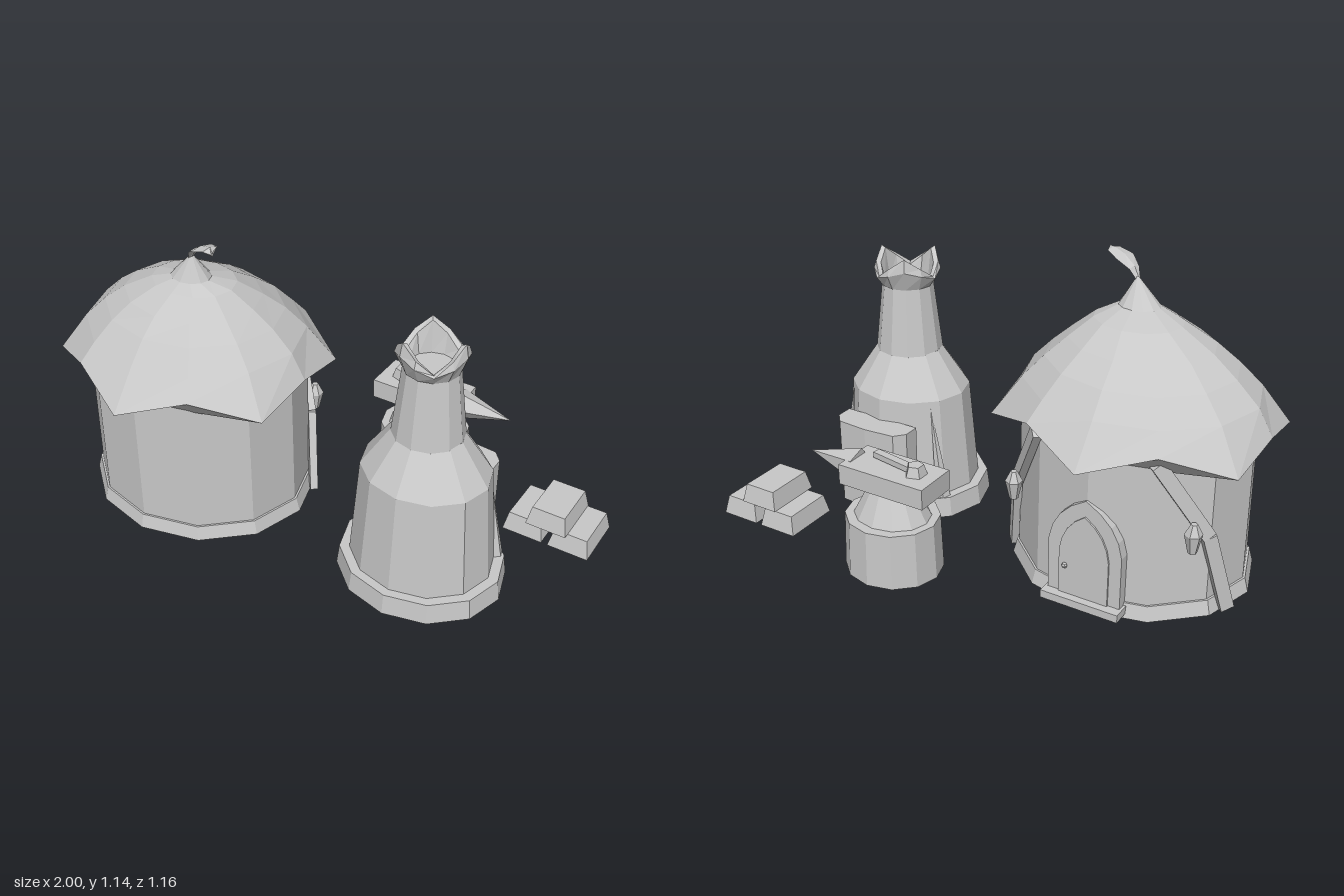
import * as THREE from 'three';

const stone = new THREE.MeshStandardMaterial({ color: 0xc8c8c8, flatShading: true, side: THREE.DoubleSide });
stone.name = 'stone grey';

const V = (x, y, z) => new THREE.Vector3(x, y, z);

function add(parent, name, geometry, x = 0, y = 0, z = 0) {
  const mesh = new THREE.Mesh(geometry, stone);
  mesh.name = name;
  mesh.position.set(x, y, z);
  parent.add(mesh);
  return mesh;
}

// Twelve-sided drum with a closed top and open bottom, slightly flattened front to back
function drum(parent, name, r0, r1, y0, y1, squash = 0.895) {
  const profile = [[r0, y0], [r1, y1], [0, y1]].map(p => new THREE.Vector2(...p));
  const m = add(parent, name, new THREE.LatheGeometry(profile, 12));
  m.scale.z = squash;
  return m;
}

// Skin stretched over closed rings of points
function loft(rings) {
  const n = rings[0].length, pos = [], idx = [];
  rings.forEach(r => r.forEach(p => pos.push(p.x, p.y, p.z)));
  for (let k = 0; k < rings.length - 1; k++) {
    for (let i = 0; i < n; i++) {
      const a = k * n + i, b = k * n + (i + 1) % n;
      idx.push(a, a + n, b, b, a + n, b + n);
    }
  }
  const g = new THREE.BufferGeometry();
  g.setAttribute('position', new THREE.Float32BufferAttribute(pos, 3));
  g.setIndex(idx);
  g.computeVertexNormals();
  return g;
}

const ring = fn => Array.from({ length: 12 }, (_, i) => fn(i * Math.PI / 6, i));

// Straight bar from one point to another; its flat side faces along "out"
function bar(parent, name, a, b, w, d, out) {
  const along = b.clone().sub(a).normalize();
  const across = along.clone().cross(out).normalize();
  const m = add(parent, name, new THREE.BoxGeometry(w, a.distanceTo(b), d));
  m.position.copy(a).add(b).multiplyScalar(0.5);
  m.quaternion.setFromRotationMatrix(new THREE.Matrix4().makeBasis(across, along, across.clone().cross(along)));
  return m;
}

function archShape(w, h) {
  const s = new THREE.Shape();
  s.moveTo(-w, 0);
  s.lineTo(w, 0);
  s.lineTo(w, h * 0.55);
  s.quadraticCurveTo(w * 0.9, h * 0.85, 0, h);
  s.quadraticCurveTo(-w * 0.9, h * 0.85, -w, h * 0.55);
  return s;
}

function arch(parent, name, w, h, depth, y, z) {
  return add(parent, name, new THREE.ExtrudeGeometry(archShape(w, h), { depth, bevelEnabled: false, curveSegments: 4 }), 0, y, z);
}

function buildHut() {
  const hut = new THREE.Group();
  hut.name = 'hut';
  hut.position.set(-0.51, 0, 0.09);
  drum(hut, 'hutFooting', 0.455, 0.44, 0, 0.055);
  drum(hut, 'hutWall', 0.432, 0.428, 0.05, 0.6);

  // Scalloped roof: six low tips alternating with raised valleys
  const levels = [
    [0, 0, 0.42, 0.375, 0.575], null,
    [0, 0, 0.432, 0.372, 0.72], [0.005, 0.005, 0.35, 0.302, 0.80],
    [0.015, 0.02, 0.268, 0.225, 0.865], [0.04, 0.04, 0.165, 0.135, 0.93],
    [0.055, 0.075, 0.078, 0.065, 0.965], [0.075, 0.09, 0.004, 0.004, 1.06],
  ];
  add(hut, 'roof', loft(levels.map(l => ring((a, i) => {
    if (l) return V(l[0] + Math.cos(a) * l[2], l[4], l[1] + Math.sin(a) * l[3]);
    if (i % 2) return V(Math.cos(a) * 0.538, 0.575, Math.sin(a) * 0.487);
    return V(Math.cos(a) * 0.486, i % 6 ? 0.65 : 0.625, Math.sin(a) * 0.435);
  }))));

  // Curling leaf on the roof peak
  const leaf = [[0.07, 1.045, 0.09, 0.008], [0.095, 1.085, 0.10, 0.024], [0.14, 1.115, 0.115, 0.042],
    [0.19, 1.13, 0.13, 0.03], [0.215, 1.125, 0.15, 0.004]];
  add(hut, 'roofLeaf', loft(leaf.map(([x, y, z, w]) =>
    [V(x - w * 0.3, y, z + w), V(x, y + 0.008, z), V(x + w * 0.3, y, z - w), V(x, y - 0.008, z)])));

  // Door at the back
  arch(hut, 'doorFrame', 0.14, 0.41, 0.05, 0.02, -0.393);
  arch(hut, 'door', 0.095, 0.34, 0.05, 0.03, -0.4);
  add(hut, 'doorKnob', new THREE.SphereGeometry(0.011, 6, 4), 0.07, 0.16, -0.405);
  add(hut, 'doorStep', new THREE.BoxGeometry(0.3, 0.03, 0.1), 0, 0.03, -0.38);

  // Leaning planks and hanging lanterns either side of the door
  for (const s of [-1, 1]) {
    const out = V(s * 0.75, 0, -0.66);
    const mid = V(s * 0.372, 0.32, -0.215);
    bar(hut, 'leaningPlankTop', V(s * 0.225, 0.61, -0.34), mid, 0.05, 0.03, out);
    bar(hut, 'leaningPlankFoot', mid, V(s * 0.428, 0.01, -0.14), 0.05, 0.03, out);
    const x = s * 0.345, z = -0.285;
    add(hut, 'lanternTop', new THREE.CylinderGeometry(0.012, 0.032, 0.04, 6), x, 0.375, z);
    add(hut, 'lanternBody', new THREE.CylinderGeometry(0.032, 0.016, 0.07, 6), x, 0.32, z);
  }
  return hut;
}

function buildFurnace() {
  const f = new THREE.Group();
  f.name = 'furnace';
  f.position.set(0.495, 0, 0.115);
  drum(f, 'furnaceFooting', 0.318, 0.308, 0, 0.08);
  drum(f, 'furnaceBody', 0.27, 0.238, 0.08, 0.47);
  drum(f, 'furnaceShoulder', 0.238, 0.131, 0.47, 0.625);
  drum(f, 'chimney', 0.131, 0.1, 0.62, 0.885, 0.95);

  // Three-petalled chimney crown, open at the top
  const row = (r, y, wave) => ring(a => V(Math.cos(a) * r, y + wave * Math.cos(3 * a), Math.sin(a) * r));
  add(f, 'chimneyCrown', loft([row(0.1, 0.883, 0), row(0.127, 0.94, 0.02), row(0.118, 0.968, 0.042),
    row(0.1, 0.96, 0.042), row(0.085, 0.885, 0)]));

  // Oven block with chamfered corners at the back
  const s = new THREE.Shape([[-0.16, 0.2], [0.16, 0.2], [0.16, 0.265], [0.125, 0.305], [0, 0.315], [-0.125, 0.305], [-0.16, 0.265]]
    .map(p => new THREE.Vector2(...p)));
  const oven = add(f, 'oven', new THREE.ExtrudeGeometry(s, { depth: 0.345, bevelEnabled: false }), 0, 0.04, 0);
  oven.rotation.x = -Math.PI / 2;
  add(f, 'ovenKnob', new THREE.SphereGeometry(0.008, 6, 4), 0.035, 0.14, -0.325);

  // Slender spikes beside the oven
  for (const side of [-1, 1]) {
    const spike = add(f, 'spike', new THREE.ConeGeometry(0.03, 0.37, 5), side * 0.207, 0.262, -0.133);
    spike.rotation.z = side * 0.13;
  }
  return f;
}

function buildAnvil() {
  const g = new THREE.Group();
  g.name = 'anvil';
  g.position.set(0.215, 0, -0.412);
  drum(g, 'stump', 0.186, 0.178, 0, 0.215, 0.92);
  drum(g, 'anvilFoot', 0.148, 0.08, 0.215, 0.34, 0.85);
  add(g, 'anvilBlock', new THREE.BoxGeometry(0.36, 0.078, 0.172), -0.012, 0.367, 0);
  const horn = add(g, 'anvilHorn', new THREE.ConeGeometry(0.062, 0.22, 5), 0.252, 0.372, 0);
  horn.rotation.z = -Math.PI / 2;

  // Hammer lying on the block
  const head = add(g, 'hammerHead', new THREE.CylinderGeometry(0.03, 0.042, 0.038, 5), -0.108, 0.425, 0);
  head.rotation.y = 0.3;
  bar(g, 'hammerHandle', V(-0.09, 0.422, 0), V(0.085, 0.422, 0.03), 0.03, 0.022, V(0, 1, 0));
  return g;
}

// Ingot with sloping sides
function ingot(parent, x, y, z) {
  const rect = (hx, hz, h) => [V(hx, h, -hz), V(hx, h, hz), V(-hx, h, hz), V(-hx, h, -hz)];
  add(parent, 'ingot', loft([rect(0, 0, 0), rect(0.08, 0.112, 0), rect(0.065, 0.097, 0.074), rect(0, 0, 0.074)]), x, y, z);
}

export function createModel() {
  const model = new THREE.Group();
  model.name = 'smithy';
  const ingots = new THREE.Group();
  ingots.name = 'ingotStack';
  ingot(ingots, 0.735, 0, -0.356);
  ingot(ingots, 0.92, 0, -0.356);
  ingot(ingots, 0.828, 0.074, -0.346);
  model.add(buildHut(), buildFurnace(), buildAnvil(), ingots);
  return model;
}
